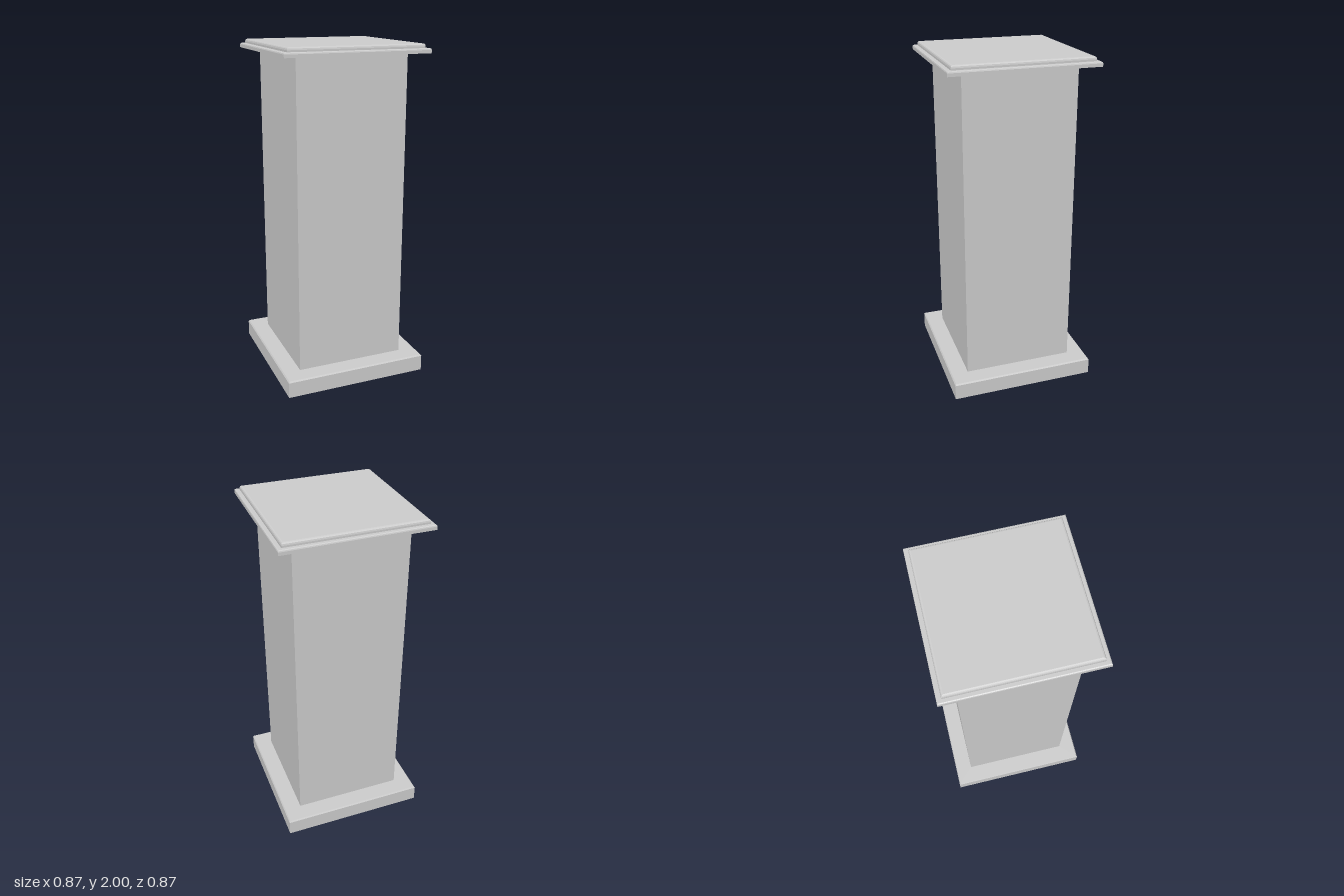
import * as THREE from 'three';

const material = new THREE.MeshStandardMaterial({ color: 0xcccccc, flatShading: true });

// Square moulding: profile of [half width, height] points, from bottom to top
function squareMoulding(name, profile) {
  const points = profile.map(([half, y]) => new THREE.Vector2(half * Math.SQRT2, y));
  const geometry = new THREE.LatheGeometry(points, 4, Math.PI / 4).toNonIndexed();
  geometry.computeVertexNormals();
  const mesh = new THREE.Mesh(geometry, material);
  mesh.name = name;
  return mesh;
}

export function createModel() {
  const model = new THREE.Group();
  model.name = 'pedestal';

  // Plinth with a narrow chamfer on its upper edge
  model.add(squareMoulding('base', [
    [0, 0], [0.436, 0], [0.436, 0.095], [0.43, 0.104], [0, 0.104],
  ]));

  // Plain square shaft
  const shaft = new THREE.Mesh(new THREE.BoxGeometry(0.66, 1.85, 0.66), material);
  shaft.position.y = 1.025;
  shaft.name = 'shaft';
  model.add(shaft);

  // Lower cap slab with a softened lip
  model.add(squareMoulding('capLip', [
    [0, 1.948], [0.426, 1.948], [0.426, 1.966], [0.424, 1.972], [0.419, 1.975], [0, 1.975],
  ]));

  // Upper cap slab with a rounded edge
  model.add(squareMoulding('capTop', [
    [0, 1.97], [0.401, 1.97], [0.401, 1.985], [0.399, 1.993], [0.395, 1.998], [0.388, 2], [0, 2],
  ]));

  return model;
}
